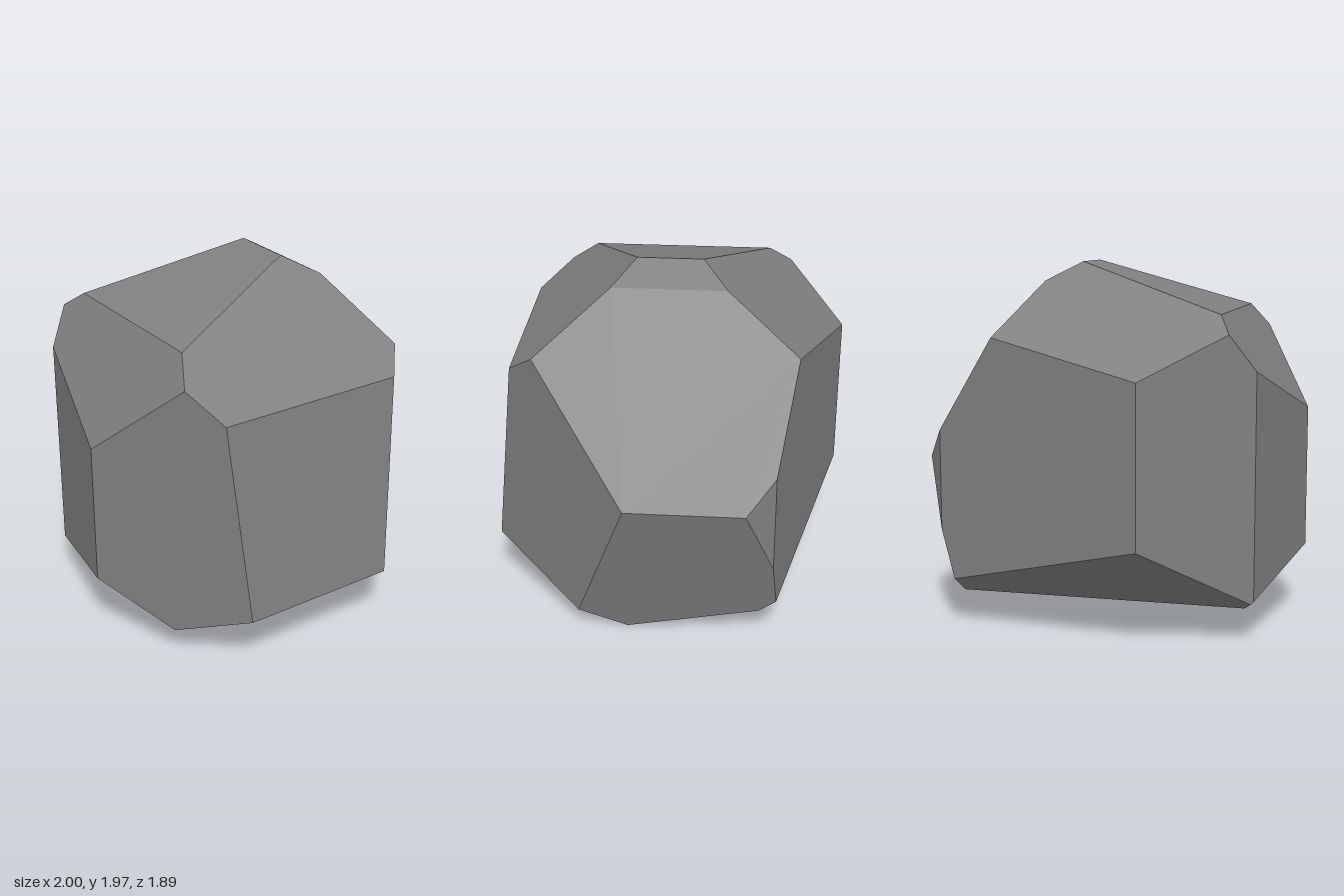
import * as THREE from 'three';
import { ConvexGeometry } from 'three/addons/geometries/ConvexGeometry.js';

// Straight cuts along each axis; each pair of neighbouring points is one facet seen edge-on.
const frontCuts = [ // (x, y), cutting along z
  [[-1, 1.163], [-0.628, 1.714], [0.197, 1.969], [0.372, 1.869], [0.998, 0.906], [0.735, 0]],
  [[-0.559, 0], [-1, 0.376]],
];
const sideCuts = [ // (z, y), cutting along x
  [[0.164, 1.97], [0.822, 1.434], [0.946, 0.338], [0.19, 0], [-0.526, 0.178], [-0.942, 0.543]],
  [[-0.942, 1.403], [-0.18, 1.97]],
];
const topCuts = [ // (x, z), cutting along y
  [[0.367, 0.94], [0.999, 0.179]],
  [[0.999, -0.447], [0.888, -0.597], [-0.281, -0.944], [-0.82, -0.554], [-1.002, 0.179], [-0.522, 0.94]],
];

// Turns the cuts into planes whose normals point away from the middle of the stone
function cutPlanes(chains, toPoint, along) {
  const planes = [];
  const middle = new THREE.Vector3(0, 1, 0);
  for (const chain of chains) {
    for (let i = 0; i + 1 < chain.length; i++) {
      const a = toPoint(...chain[i]);
      const b = toPoint(...chain[i + 1]);
      const normal = b.clone().sub(a).cross(along).normalize();
      const plane = new THREE.Plane().setFromNormalAndCoplanarPoint(normal, a);
      if (plane.distanceToPoint(middle) > 0) plane.negate();
      planes.push(plane);
    }
  }
  return planes;
}

// Corner where three planes meet, or null when they do not
function meet(p, q, r) {
  const qr = q.normal.clone().cross(r.normal);
  const det = p.normal.dot(qr);
  if (Math.abs(det) < 1e-5) return null;
  return qr.multiplyScalar(-p.constant)
    .addScaledVector(r.normal.clone().cross(p.normal), -q.constant)
    .addScaledVector(p.normal.clone().cross(q.normal), -r.constant)
    .divideScalar(det);
}

// Corners of the solid left over after all the cuts
function solidCorners(planes) {
  const corners = [];
  const n = planes.length;
  for (let i = 0; i < n; i++) for (let j = i + 1; j < n; j++) for (let k = j + 1; k < n; k++) {
    const c = meet(planes[i], planes[j], planes[k]);
    if (!c || planes.some((p) => p.distanceToPoint(c) > 1e-6)) continue;
    if (!corners.some((o) => o.distanceTo(c) < 1e-3)) corners.push(c);
  }
  return corners;
}

export function createModel() {
  const group = new THREE.Group();
  group.name = 'rock';

  const stoneGrey = new THREE.MeshStandardMaterial({ color: 0x808080 });
  stoneGrey.name = 'stoneGrey';

  const planes = [
    ...cutPlanes(frontCuts, (x, y) => new THREE.Vector3(x, y, 0), new THREE.Vector3(0, 0, 1)),
    ...cutPlanes(sideCuts, (z, y) => new THREE.Vector3(0, y, z), new THREE.Vector3(1, 0, 0)),
    ...cutPlanes(topCuts, (x, z) => new THREE.Vector3(x, 0, z), new THREE.Vector3(0, 1, 0)),
  ];

  // Faceted stone
  const stone = new THREE.Mesh(new ConvexGeometry(solidCorners(planes)), stoneGrey);
  stone.name = 'stone';
  group.add(stone);
  return group;
}
